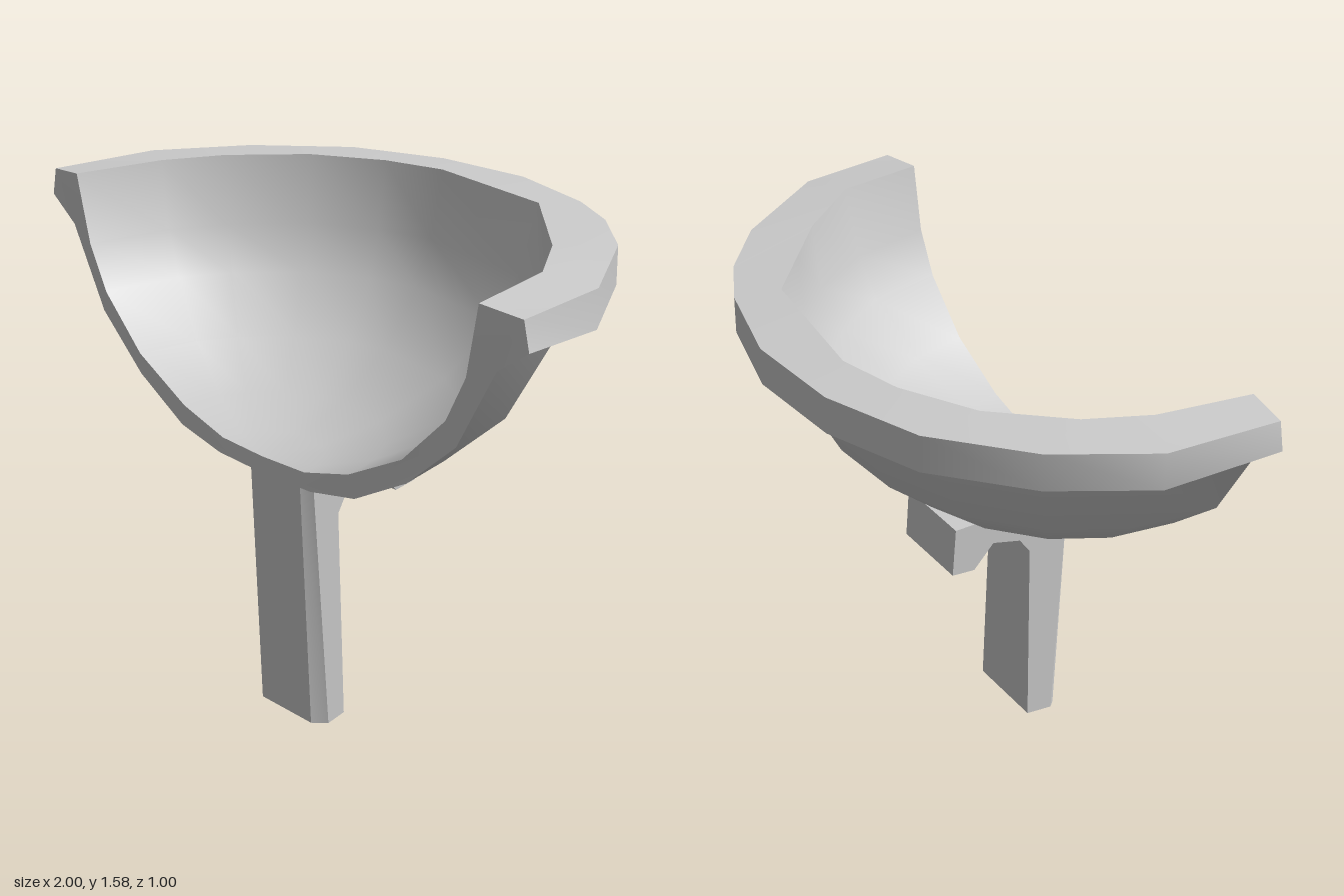
import * as THREE from 'three';
import { toCreasedNormals } from 'three/addons/utils/BufferGeometryUtils.js';

const material = new THREE.MeshStandardMaterial({ color: 0xcccccc });

// Skins closed cross-sections and caps both ends; outline gives the 2D shape of a section, counter-clockwise
function loft(sections, outline, crease) {
  const pos = [];
  const tri = (a, b, c) => {
    const area = b.clone().sub(a).cross(c.clone().sub(a)).length();
    if (area > 1e-7) pos.push(...a, ...b, ...c);
  };
  const n = outline.length;
  for (let i = 0; i < sections.length - 1; i++) {
    for (let j = 0; j < n; j++) {
      const k = (j + 1) % n;
      const [a, b, c, d] = [sections[i][j], sections[i][k], sections[i + 1][k], sections[i + 1][j]];
      tri(a, b, c);
      tri(a, c, d);
    }
  }
  const first = sections[0], last = sections[sections.length - 1];
  for (const [a, b, c] of THREE.ShapeUtils.triangulateShape(outline, [])) {
    tri(first[c], first[b], first[a]);
    tri(last[a], last[b], last[c]);
  }
  const geometry = new THREE.BufferGeometry();
  geometry.setAttribute('position', new THREE.Float32BufferAttribute(pos, 3));
  return toCreasedNormals(geometry, crease);
}

const toVector2 = ([x, y]) => new THREE.Vector2(x, y);

// Half bowl: a thick profile swept half a turn around the back
function bowlGeometry() {
  const axisZ = 0.495;
  // outer rim x, z and inner rim x, z at each station, from right to left
  const stations = [
    [-1, 0.47, -0.85, 0.485], [-0.94, 0.12, -0.79, 0.2], [-0.77, -0.15, -0.7, 0.02],
    [-0.52, -0.37, -0.52, -0.18], [-0.22, -0.48, -0.3, -0.3], [0.1, -0.5, -0.1, -0.35],
    [0.4, -0.42, 0.35, -0.29], [0.57, -0.33, 0.5, -0.15], [0.75, -0.17, 0.65, -0.01],
    [0.95, 0.15, 0.8, 0.2], [1, 0.47, 0.84, 0.485],
  ];
  const outer = [[0, 0.842], [0.2, 0.845], [0.38, 0.88], [0.58, 0.99], [0.76, 1.15], [0.895, 1.4]];
  const rim = [[1, 1.46], [0.99, 1.56], [0.85, 1.572]];
  const inner = [[0.8, 1.36], [0.73, 1.22], [0.57, 1.06], [0.36, 0.95], [0.18, 0.9], [0, 0.895]];

  const sections = stations.map(([ox, oz, ix, iz], s) => {
    const end = s === 0 || s === stations.length - 1;
    const around = (x, z) => ([r, y]) => {
      const length = Math.hypot(x, z - axisZ);
      return new THREE.Vector3((x / length) * r, y, axisZ + ((z - axisZ) / length) * r);
    };
    const inset = end ? 0.98 : 1;
    return [
      ...outer.map(around(ox, oz)),
      new THREE.Vector3(ox, end ? 1.475 : 1.445, oz),
      new THREE.Vector3(ox * inset, 1.56, oz),
      new THREE.Vector3(ix, s === 9 ? 1.58 : 1.572, iz),
      ...inner.map(around(ix, iz)),
    ];
  });
  return loft(sections, [...outer, ...rim, ...inner].map(toVector2), 0.6);
}

// Bracket: hooked side profiles (z, y) joined across the width, with bevelled front edges
function bracketGeometry() {
  const side = (kneeZ, kneeY, crookZ, crookY, footZ, headZ, footY) => [
    [0.01, 0.875], [0, 0.71], [0.08, 0.7], [0.15, 0.775],
    [crookZ, crookY], [kneeZ, kneeY], [0.305, 0.015], [footZ, footY], [headZ, 0.86],
  ];
  const slices = [
    [0.135, 0.135, side(0.32, 0.7, 0.26, 0.8, 0.37, 0.42, 0.003)],
    [0.105, 0.105, side(0.315, 0.7, 0.26, 0.79, 0.415, 0.445, 0.01)],
    [-0.1, -0.12, side(0.29, 0.69, 0.25, 0.75, 0.415, 0.445, 0.01)],
    [-0.13, -0.13, side(0.29, 0.69, 0.25, 0.745, 0.4, 0.43, 0)],
  ];
  const sections = slices.map(([topX, footX, points]) =>
    points.map(([z, y]) => new THREE.Vector3(y < 0.1 ? footX : topX, y, z)));
  return loft(sections, slices[0][2].map(toVector2), 0.35);
}

export function createModel() {
  const model = new THREE.Group();
  model.name = 'halfBowlOnBracket';
  const add = (name, geometry) => {
    const mesh = new THREE.Mesh(geometry, material);
    mesh.name = name;
    model.add(mesh);
  };
  add('halfBowl', bowlGeometry());
  add('bracket', bracketGeometry());
  return model;
}
